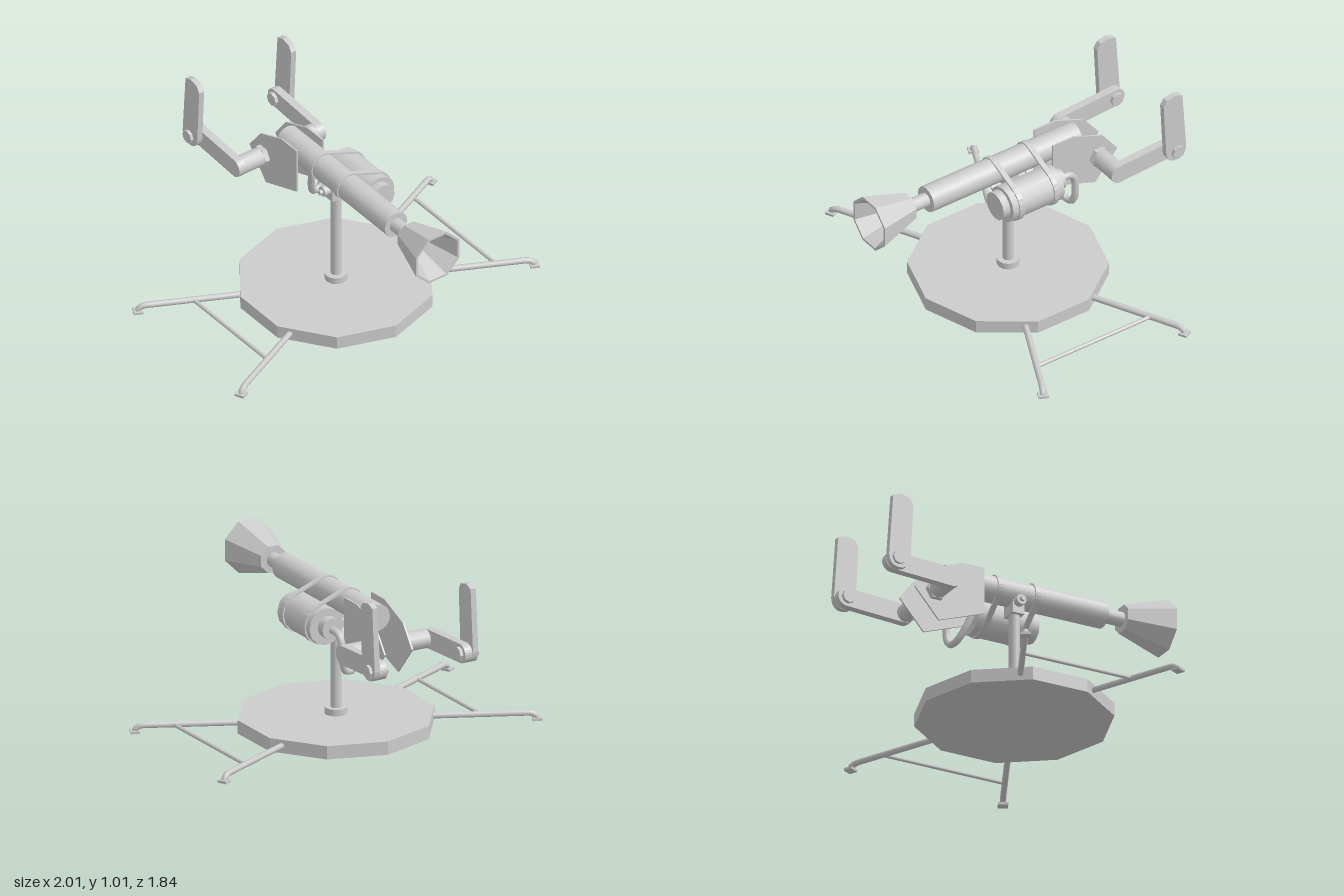
import * as THREE from 'three';

const grey = new THREE.MeshStandardMaterial({ color: 0xcccccc, side: THREE.DoubleSide });
const flat = new THREE.MeshStandardMaterial({ color: 0xcccccc, side: THREE.DoubleSide, flatShading: true });
const V = (x, y, z) => new THREE.Vector3(x, y, z);

function add(parent, name, geometry, material = grey) {
  const mesh = new THREE.Mesh(geometry, material);
  mesh.name = name;
  parent.add(mesh);
  return mesh;
}

// Cylinder between two points
function rod(parent, name, a, b, radius, sides = 12, material = grey) {
  const dir = b.clone().sub(a);
  const mesh = add(parent, name, new THREE.CylinderGeometry(radius, radius, dir.length(), sides), material);
  mesh.position.copy(a).add(b).multiplyScalar(0.5);
  mesh.quaternion.setFromUnitVectors(V(0, 1, 0), dir.normalize());
  return mesh;
}

// Plate drawn in the (z, y) plane, centred on x
function plate(parent, name, shape, x, thickness) {
  const g = new THREE.ExtrudeGeometry(shape, { depth: thickness, bevelEnabled: false, curveSegments: 8 });
  g.translate(0, 0, -thickness / 2).rotateY(-Math.PI / 2).translate(x, 0, 0);
  return add(parent, name, g, flat);
}

const polygon = (pts) => new THREE.Shape(pts.map(([a, b]) => new THREE.Vector2(a, b)));

// Outline of a belt wrapped round two circles [x, y, r]
function belt([x1, y1, r1], [x2, y2, r2], grow) {
  const dx = x2 - x1, dy = y2 - y1;
  const axis = Math.atan2(dy, dx);
  const tangent = Math.acos((r1 - r2) / Math.hypot(dx, dy));
  const pts = [];
  const arc = (x, y, r, from, to) => {
    for (let i = 0; i <= 12; i++) {
      const t = from + (to - from) * i / 12;
      pts.push([x + (r + grow) * Math.cos(t), y + (r + grow) * Math.sin(t)]);
    }
  };
  arc(x2, y2, r2, axis - tangent, axis + tangent);
  arc(x1, y1, r1, axis + tangent, axis - tangent + 2 * Math.PI);
  return polygon(pts);
}

function buildStand(root) {
  const stand = new THREE.Group();
  stand.name = 'stand';
  root.add(stand);
  const cz = 0.015;
  add(stand, 'baseDisc', new THREE.CylinderGeometry(0.537, 0.537, 0.075, 10), flat).position.set(0, 0.0375, cz);
  rod(stand, 'postCollar', V(0, 0.07, cz), V(0, 0.112, cz), 0.062, 12);
  rod(stand, 'post', V(0, 0.1, cz), V(0, 0.71, cz), 0.03, 12);

  // Four splayed legs with bent ends and small feet
  for (const sx of [-1, 1]) for (const sz of [-1, 1]) {
    const dir = V(sx * 0.9, 0, sz * 0.436);
    const start = V(sx * 0.42, 0.04, cz + sz * 0.195);
    const at = (d, y) => start.clone().addScaledVector(dir, d).setY(y);
    const path = new THREE.CurvePath();
    path.add(new THREE.LineCurve3(at(0, 0.04), at(0.56, 0.04)));
    path.add(new THREE.QuadraticBezierCurve3(at(0.56, 0.04), at(0.61, 0.04), at(0.615, 0.005)));
    add(stand, 'leg', new THREE.TubeGeometry(path, 30, 0.017, 8));
    const foot = add(stand, 'foot', new THREE.BoxGeometry(0.05, 0.014, 0.055), flat);
    foot.position.copy(at(0.612, 0.007));
    foot.rotation.y = -Math.atan2(dir.z, dir.x);
  }
  // Braces joining each pair of legs
  rod(stand, 'leftBrace', V(0.785, 0.04, -0.355), V(0.785, 0.04, 0.385), 0.011, 8);
  rod(stand, 'rightBrace', V(-0.7, 0.04, -0.315), V(-0.7, 0.04, 0.345), 0.011, 8);
}

function buildGun(root) {
  const gun = new THREE.Group();
  gun.name = 'gun';
  root.add(gun);
  const by = 0.742;
  rod(gun, 'barrel', V(0, by, -0.42), V(0, by, 0.55), 0.074, 16);
  rod(gun, 'neck', V(0, by, 0.5), V(0, by, 0.68), 0.04, 12);

  // Eight-sided flared horn, hollow at the front
  const profile = [[0, 0.665], [0.08, 0.665], [0.157, 0.922], [0.142, 0.922], [0.05, 0.69], [0, 0.69]];
  const horn = new THREE.LatheGeometry(profile.map(([r, y]) => new THREE.Vector2(r, y)), 8, Math.PI / 8);
  add(gun, 'horn', horn.rotateX(Math.PI / 2).translate(0, 0.745, 0), flat);

  // Pivot under the barrel
  add(gun, 'pivotBlock', new THREE.BoxGeometry(0.1, 0.1, 0.07), flat).position.set(0, 0.665, 0.015);
  rod(gun, 'pivotBolt', V(-0.09, 0.68, 0.012), V(0.05, 0.68, 0.012), 0.03, 8);
  rod(gun, 'pivotPin', V(-0.11, 0.68, 0.012), V(-0.08, 0.68, 0.012), 0.014, 8);

  // Side tank with stepped ends
  const tx = 0.168, ty = 0.645;
  rod(gun, 'tank', V(tx, ty, -0.163), V(tx, ty, 0.17), 0.104, 12);
  rod(gun, 'tankFrontCap', V(tx - 0.008, ty, 0.16), V(tx - 0.008, ty, 0.213), 0.081, 12);
  rod(gun, 'tankBackCap', V(tx - 0.008, ty, -0.212), V(tx - 0.008, ty, -0.15), 0.06, 12);

  // Straps round barrel and tank
  const c1 = [0, by, 0.07], c2 = [tx, ty, 0.1];
  for (const z of [-0.11, 0.117]) {
    const shape = belt(c1, c2, 0.011);
    shape.holes.push(belt(c1, c2, 0));
    const g = new THREE.ExtrudeGeometry(shape, { depth: 0.03, bevelEnabled: false });
    add(gun, 'strap', g.translate(0, 0, z - 0.015), flat);
  }

  // Feed pipe looping from the tank to the barrel
  const pipe = new THREE.CatmullRomCurve3([
    V(0.16, 0.64, -0.2), V(0.16, 0.636, -0.27), V(0.158, 0.6, -0.303), V(0.153, 0.475, -0.312),
    V(0.13, 0.432, -0.305), V(0.085, 0.43, -0.295), V(0.045, 0.49, -0.265), V(0.02, 0.59, -0.23),
    V(0.01, 0.7, -0.22),
  ]);
  add(gun, 'feedPipe', new THREE.TubeGeometry(pipe, 48, 0.02, 8));
}

function buildSide(root, s) {
  const side = new THREE.Group();
  side.name = s > 0 ? 'leftHandle' : 'rightHandle';
  root.add(side);
  // Cheek plate
  plate(side, 'cheekPlate', polygon([
    [-0.215, 0.812], [-0.35, 0.812], [-0.54, 0.737], [-0.635, 0.612], [-0.49, 0.445], [-0.215, 0.545],
  ]), s * 0.085, 0.01);

  // Axle with its nut
  const az = -0.512, ay = 0.612;
  rod(side, 'axleNut', V(s * 0.08, ay, az), V(s * 0.118, ay, az), 0.06, 6, flat);
  rod(side, 'axle', V(s * 0.1, ay, az), V(s * 0.285, ay, az), 0.053, 12);

  // Arm with rounded ends
  const arm = belt([az, ay, 0.053], [-0.866, 0.632, 0.053], 0);
  plate(side, 'arm', arm, s * 0.264, 0.045);

  // Upright grip, rounded below and clipped above
  const grip = new THREE.Shape();
  grip.moveTo(-0.79, 0.64);
  grip.lineTo(-0.773, 0.965);
  grip.lineTo(-0.795, 1.0);
  grip.lineTo(-0.85, 1.012);
  grip.lineTo(-0.895, 0.995);
  grip.lineTo(-0.92, 0.645);
  grip.quadraticCurveTo(-0.915, 0.578, -0.86, 0.578);
  grip.quadraticCurveTo(-0.8, 0.578, -0.79, 0.64);
  plate(side, 'grip', grip, s * 0.305, 0.033);
  rod(side, 'gripBolt', V(s * 0.222, 0.632, -0.862), V(s * 0.338, 0.632, -0.862), 0.038, 8, flat);
}

export function createModel() {
  const root = new THREE.Group();
  root.name = 'mountedHornGun';
  buildStand(root);
  buildGun(root);
  for (const s of [1, -1]) buildSide(root, s);
  return root;
}
